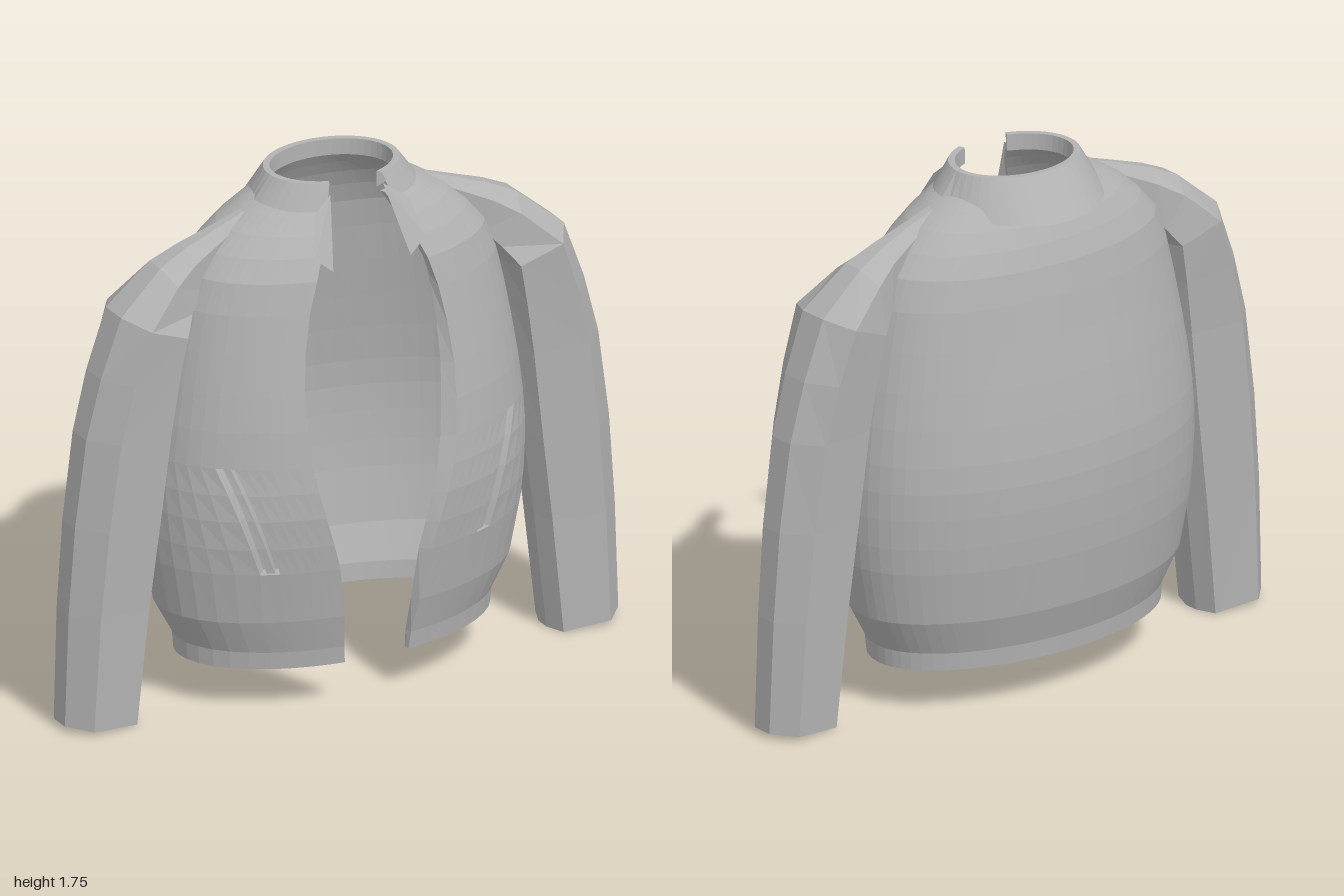
import * as THREE from 'three';

const fabric = new THREE.MeshStandardMaterial({ color: 0xb2b2b2, flatShading: true, side: THREE.DoubleSide });
fabric.name = 'grey fabric';

// Body rows: height, half width, front depth, back depth, half width of the front opening
const ROWS = [
  [0.15, 0.55, 0.312, 0.29, 0.115], [0.21, 0.555, 0.32, 0.295, 0.12],
  [0.33, 0.62, 0.35, 0.335, 0.135], [0.51, 0.655, 0.38, 0.362, 0.165],
  [0.6, 0.664, 0.392, 0.37, 0.19], [0.7, 0.668, 0.4, 0.376, 0.22],
  [0.79, 0.667, 0.398, 0.378, 0.243], [0.88, 0.66, 0.39, 0.373, 0.26],
  [1.0, 0.645, 0.378, 0.358, 0.268], [1.12, 0.625, 0.36, 0.34, 0.27],
  [1.25, 0.6, 0.338, 0.318, 0.257], [1.38, 0.57, 0.317, 0.298, 0.232],
  [1.48, 0.53, 0.3, 0.28, 0.2], [1.55, 0.47, 0.272, 0.257, 0.17],
  [1.61, 0.4, 0.24, 0.23, 0.14], [1.66, 0.32, 0.21, 0.2, 0.115], [1.69, 0.265, 0.19, 0.18, 0.1],
];
const HOLE = [3, 7];                 // rows at the bottom and top of the pocket slit
const SPLITS = [6, 1, 6, 16];        // columns: edge, slit, side, back

// Surface joining a grid of points; skip(i, j) leaves a cell open
function loft(grid, { closed = false, skip = () => false } = {}) {
  const pos = [];
  for (let i = 0; i < grid.length - 1; i++) {
    const a = grid[i], b = grid[i + 1], n = a.length;
    for (let j = 0; j < (closed ? n : n - 1); j++) {
      if (skip(i, j)) continue;
      const k = (j + 1) % n;
      pos.push(...a[j], ...a[k], ...b[k], ...a[j], ...b[k], ...b[j]);
    }
  }
  const g = new THREE.BufferGeometry();
  g.setAttribute('position', new THREE.Float32BufferAttribute(pos, 3));
  g.computeVertexNormals();
  return g;
}

function add(group, name, geometry) {
  const m = new THREE.Mesh(geometry, fabric);
  m.name = name;
  group.add(m);
  return m;
}

// Point on the body at row r and angle t from the front, sunk by inset
function bodyPoint(r, t, inset = 0) {
  const [y, rx, zf, zb] = ROWS[r], c = Math.cos(t);
  return [(rx - inset) * Math.sin(t), y, ((c > 0 ? zf : zb) - inset) * c];
}

const edgeAngle = (r) => Math.asin(ROWS[r][4] / ROWS[r][1]);

// Angles of the slanted pocket slit at row r
function slitAngles(r) {
  const q = THREE.MathUtils.clamp(r, ...HOLE);
  const f = (ROWS[q][0] - 0.51) / 0.37;
  return [0.355 + 0.135 * f, 0.415 + 0.125 * f].map((x) => Math.asin(x / ROWS[q][1]));
}

function rowAngles(r) {
  const knots = [edgeAngle(r), ...slitAngles(r), Math.PI / 2, Math.PI], out = [knots[0]];
  SPLITS.forEach((n, s) => {
    for (let k = 1; k <= n; k++) out.push(THREE.MathUtils.lerp(knots[s], knots[s + 1], k / n));
  });
  return out;
}

function addBodyHalf(group) {
  const shell = (inset) => ROWS.map((_, r) => rowAngles(r).map((t) => bodyPoint(r, t, inset)));
  const outer = shell(0), inner = shell(0.02);
  const skip = (i, j) => i >= HOLE[0] && i < HOLE[1] && j === SPLITS[0];
  add(group, 'bodyShell', loft(outer, { skip }));
  add(group, 'bodyLining', loft(inner, { skip }));
  add(group, 'hemEdge', loft([inner[0], outer[0]]));
  add(group, 'openingEdge', loft([outer.map((r) => r[0]), inner.map((r) => r[0])]));
}

// Sunken slit with a narrow welt inside
function addPocket(group) {
  const grid = [], welt = [];
  for (let r = HOLE[0]; r <= HOLE[1]; r++) {
    const [a, b] = slitAngles(r), d = 0.05;
    grid.push([bodyPoint(r, a), bodyPoint(r, a, d), bodyPoint(r, b, d), bodyPoint(r, b)]);
    const mid = (f) => a + (b - a) * f;
    welt.push([bodyPoint(r, mid(0.3), d), bodyPoint(r, mid(0.3), 0.012),
      bodyPoint(r, mid(0.7), 0.012), bodyPoint(r, mid(0.7), d)]);
  }
  add(group, 'pocketBag', loft(grid));
  for (const [a, b, c, d] of [grid[0], grid[grid.length - 1]]) add(group, 'pocketEnd', loft([[a, d], [b, c]]));
  add(group, 'pocketWelt', loft(welt));
}

// Stand-up collar that flares down over the back of the neck
function addCollar(group) {
  const grid = [];
  for (let k = 0; k <= 20; k++) {
    const t = THREE.MathUtils.lerp(0.43, Math.PI, k / 20), s = Math.sin(t), c = Math.cos(t);
    const ring = (rx, zf, zb, y) => [rx * s, y, (c > 0 ? zf : zb) * c];
    const low = c > 0 ? 1.672 : 1.672 - 0.055 * Math.sqrt(-c);
    grid.push([ring(0.205, 0.16, 0.155, 1.7), ring(0.207, 0.16, 0.155, 1.755),
      ring(0.228, 0.182, 0.178, 1.755), ring(0.29, 0.21, 0.28, low)]);
  }
  add(group, 'collar', loft(grid));
  add(group, 'collarPoint', loft([
    [[0.095, 1.72, 0.172], [0.17, 1.67, 0.2]],
    [[0.14, 1.5, 0.275], [0.2, 1.55, 0.265]],
  ]));
}

// Sleeve rings: outer x, outer y, inner x, inner y, front z, back z
const SLEEVE = [
  [1.0, 0.02, 0.745, 0.0, 0.145, -0.075], [0.987, 0.4, 0.7, 0.4, 0.15, -0.085],
  [0.965, 0.7, 0.66, 0.7, 0.158, -0.093], [0.925, 1.0, 0.625, 1.0, 0.166, -0.103],
  [0.873, 1.2, 0.6, 1.18, 0.173, -0.115], [0.8, 1.4, 0.58, 1.31, 0.18, -0.125],
  [0.645, 1.53, 0.55, 1.36, 0.125, -0.092], [0.55, 1.575, 0.5, 1.42, 0.09, -0.06],
  [0.42, 1.622, 0.4, 1.5, 0.06, -0.03], [0.29, 1.667, 0.28, 1.6, 0.045, -0.02],
];

function addSleeve(group) {
  // Eight-sided section: across (0 inner, 1 outer) and along z (0 back, 1 front)
  const section = [[1, 0.32], [1, 0.66], [0.74, 1], [0.1, 0.93], [0, 0.62], [0, 0.38], [0.1, 0.07], [0.74, 0]];
  const rings = (e) => SLEEVE.map(([xo, yo, xi, yi, zf, zb]) => section.map(([u, v]) => {
    const p = 0.5 + (u - 0.5) * (1 - e), q = 0.5 + (v - 0.5) * (1 - e);
    return [xi + (xo - xi) * p, yi + (yo - yi) * p, zb + (zf - zb) * q];
  }));
  const outer = rings(0), inner = rings(0.12).slice(0, 6);
  add(group, 'sleeve', loft(outer, { closed: true }));
  add(group, 'sleeveLining', loft(inner, { closed: true }));
  add(group, 'cuffEdge', loft([inner[0], outer[0]], { closed: true }));
}

// Facing strip folded in along the left front edge
function addFacing(group) {
  const grid = ROWS.slice(0, 13).map(([y], r) => {
    const p = bodyPoint(r, edgeAngle(r));
    const w = 0.045 * Math.sin(Math.PI * THREE.MathUtils.clamp((y - 0.15) / 1.38, 0, 1));
    return [p, [p[0] - w, y, p[2] - 0.025]];
  });
  add(group, 'frontFacing', loft(grid));
}

export function createModel() {
  const jacket = new THREE.Group();
  jacket.name = 'jacket';
  for (const side of [1, -1]) {
    const half = new THREE.Group();
    half.name = side > 0 ? 'leftHalf' : 'rightHalf';
    addBodyHalf(half);
    addPocket(half);
    addCollar(half);
    addSleeve(half);
    if (side > 0) addFacing(half);
    half.scale.x = side;
    jacket.add(half);
  }
  return jacket;
}
